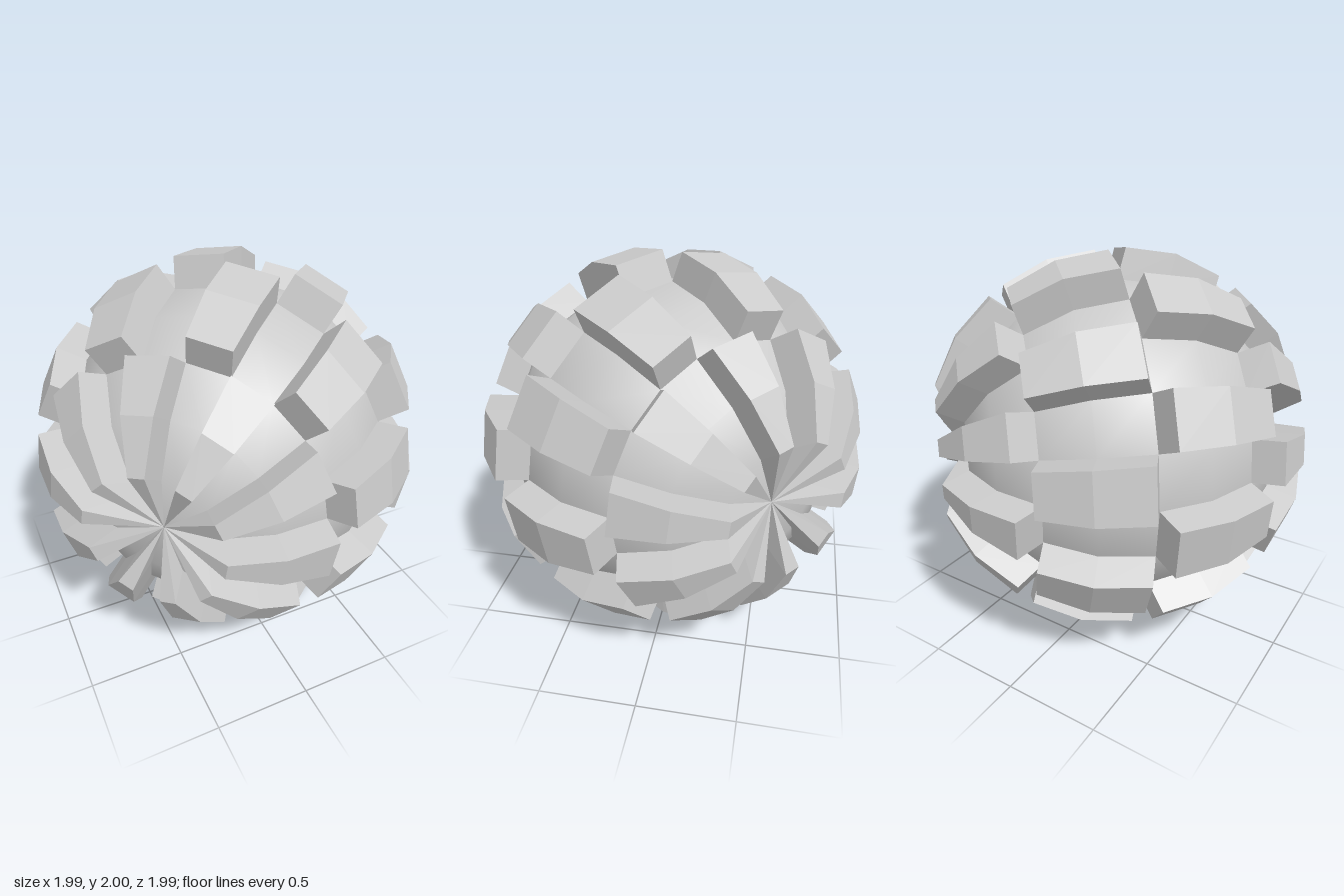
import * as THREE from 'three';

const R = 0.85;        // core radius
const POLE = 0.815;    // slightly flattened poles
const LIFT = 0.16;     // height of the raised panels
const SECTORS = 20;
const STEP = Math.PI / 10; // 18 degrees, both ways

// Direction at angle t from the pole (+y) and angle p around it
const dir = (t, p) => new THREE.Vector3(Math.sin(t) * Math.sin(p), Math.cos(t), Math.sin(t) * Math.cos(p));
const isPole = (ring) => ring === 0 || ring === 10;
const corePoint = (ring, sector) =>
  dir(ring * STEP, sector * STEP).multiplyScalar(isPole(ring) ? POLE : R);

// One panel of the core, pushed straight out along its mean direction
function panelGeometry(first, last, mean, sector) {
  const push = dir(mean * STEP, (sector + 0.5) * STEP).multiplyScalar(LIFT);
  const sections = [];
  for (let ring = first; ring <= last; ring++) {
    const l = corePoint(ring, sector), r = corePoint(ring, sector + 1);
    if (isPole(ring)) {
      const tip = new THREE.Vector3(0, l.y, 0);
      sections.push([tip, tip, tip, tip]); // panels meet at the pole
    } else {
      sections.push([l, l.clone().add(push), r.clone().add(push), r]);
    }
  }
  const points = [];
  const tri = (a, b, c) => { if (a !== b && b !== c && a !== c) points.push(a, b, c); };
  const quad = (a, b, c, d) => { tri(a, b, c); tri(a, c, d); };
  for (let i = 0; i + 1 < sections.length; i++) {
    const a = sections[i], b = sections[i + 1];
    for (let j = 0; j < 3; j++) quad(a[j], b[j], b[j + 1], a[j + 1]);
  }
  quad(...sections[0]);
  quad(...[...sections[sections.length - 1]].reverse());
  const geometry = new THREE.BufferGeometry().setFromPoints(points);
  geometry.computeVertexNormals();
  return geometry;
}

export function createModel() {
  const model = new THREE.Group();
  model.name = 'panelledBall';
  const smooth = new THREE.MeshStandardMaterial({ color: 0xcccccc });
  const flat = new THREE.MeshStandardMaterial({ color: 0xcccccc, flatShading: true });

  const ball = new THREE.Group();
  ball.name = 'ball';

  // Smooth core
  const profile = [];
  for (let ring = 10; ring >= 0; ring--) {
    const r = isPole(ring) ? POLE : R;
    profile.push(new THREE.Vector2(isPole(ring) ? 0 : r * Math.sin(ring * STEP), r * Math.cos(ring * STEP)));
  }
  const core = new THREE.Mesh(new THREE.LatheGeometry(profile, SECTORS), smooth);
  core.name = 'core';
  ball.add(core);

  // Four bands of raised panels in a checkerboard: [name, first ring, last ring, mean ring, odd/even]
  const bands = [
    ['nearCapPanel', 0, 3, 2, 1],
    ['nearBandPanel', 3, 5, 4, 0],
    ['farBandPanel', 5, 7, 6, 1],
    ['farCapPanel', 7, 10, 8, 0],
  ];
  for (const [name, first, last, mean, offset] of bands) {
    for (let sector = offset; sector < SECTORS; sector += 2) {
      const panel = new THREE.Mesh(panelGeometry(first, last, mean, sector), flat);
      panel.name = name;
      ball.add(panel);
    }
  }

  // Lay the pole axis level, pointing to the front right
  const s = Math.SQRT1_2;
  ball.quaternion.setFromRotationMatrix(new THREE.Matrix4().makeBasis(
    new THREE.Vector3(0, 1, 0), new THREE.Vector3(-s, 0, s), new THREE.Vector3(s, 0, s)));
  ball.position.y = 1;
  model.add(ball);
  return model;
}
